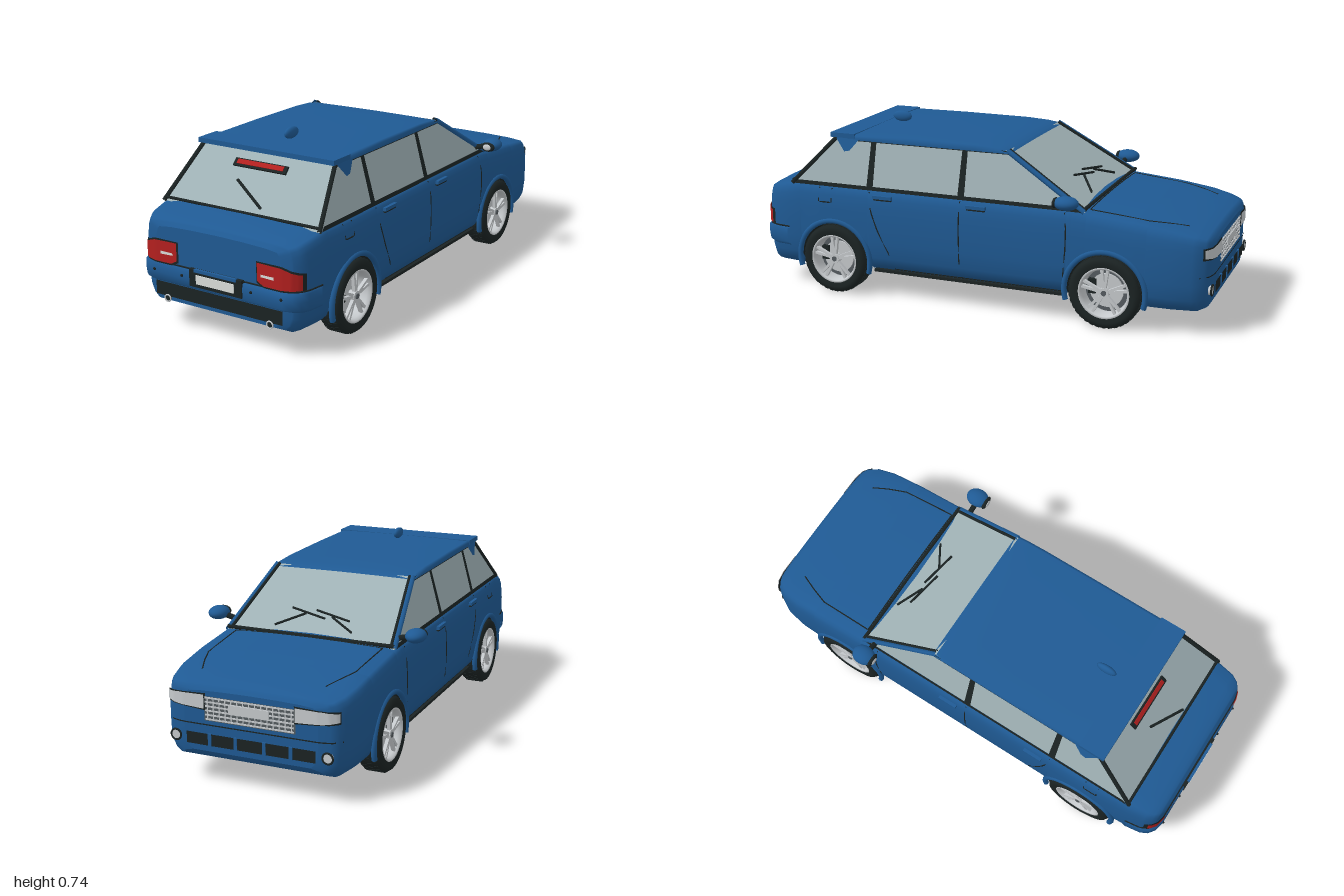
import * as THREE from 'three';

const mat = (name, color) => {
  const m = new THREE.MeshStandardMaterial({ color, side: THREE.DoubleSide });
  m.name = name;
  return m;
};
const paint = mat('blue paint', 0x1f5a94), black = mat('black trim', 0x1b2323), glass = mat('pale glass', 0xa0b2b6);
const silver = mat('silver', 0xc6cacd), red = mat('red lens', 0xb3201f), plateMat = mat('off white', 0xdadedb);
const grey = mat('dark grey', 0x555c60);

// Body rules: half width, crest height and underside height along z
const WIDTH = [[-1, .28], [-.993, .325], [-.975, .355], [-.93, .38], [-.85, .395], [-.7, .4], [.7, .4], [.85, .39],
  [.92, .38], [.95, .365], [.97, .34], [.98, .3]];
const TOP = [[-1, .385], [-.985, .405], [-.95, .416], [-.85, .437], [-.7, .458], [-.5, .477], [-.44, .485], [.8, .485],
  [.85, .475], [.92, .462], [.965, .445], [.98, .425]];
const LOW = [[-1, .14], [-.985, .115], [-.95, .1], [-.7, .1], [-.42, .115], [.46, .115], [.8, .1], [.95, .1], [.98, .115]];
const SECTION = [[0, .88], [.06, .94], [.16, .98], [.35, 1], [.6, 1], [.76, .992], [.86, .98], [.92, .96], [.96, .93],
  [.982, .75], [.995, .4], [1, 0]];
const AXLES = [-.585, .63], ARCH = .165;

function lerpTable(table, v) {
  if (v <= table[0][0]) return table[0][1];
  for (let i = 1; i < table.length; i++) {
    const [a, p] = table[i - 1], [b, q] = table[i];
    if (v <= b) return p + (q - p) * (v - a) / (b - a);
  }
  return table[table.length - 1][1];
}
const swapped = (table) => table.map(([a, b]) => [b, a]);
const widthAt = (z) => lerpTable(WIDTH, z), topAt = (z) => lerpTable(TOP, z), lowAt = (z) => lerpTable(LOW, z);
const sideX = (y, z) => widthAt(z) * lerpTable(SECTION, (y - lowAt(z)) / (topAt(z) - lowAt(z)));
const deckY = (x, z) => lowAt(z) + (topAt(z) - lowAt(z)) * lerpTable(swapped(SECTION.slice(4)).reverse(), Math.abs(x) / widthAt(z));
const rearZ = (x) => lerpTable(swapped(WIDTH.slice(6)).reverse(), Math.abs(x));
const frontZ = (x) => lerpTable(swapped(WIDTH.slice(0, 6)), Math.abs(x));
function bottomAt(z) {
  for (const a of AXLES) if (Math.abs(z - a) <= ARCH) return .15 + Math.sqrt(Math.max(0, ARCH ** 2 - (z - a) ** 2));
  return lowAt(z);
}

// Skin through equal-length rings of [x, y, z]
function loft(rings) {
  const n = rings[0].length, index = [];
  for (let i = 0; i < rings.length - 1; i++) for (let j = 0; j < n - 1; j++) {
    const a = i * n + j, c = a + n;
    index.push(a, a + 1, c, a + 1, c + 1, c);
  }
  const g = new THREE.BufferGeometry();
  g.setAttribute('position', new THREE.Float32BufferAttribute(rings.flat(2), 3));
  g.setIndex(index);
  g.computeVertexNormals();
  return g;
}

export function createModel() {
  const car = new THREE.Group();
  car.name = 'car';
  const add = (name, geo, m, pos = [0, 0, 0], parent = car) => {
    const mesh = new THREE.Mesh(geo, m);
    mesh.name = name;
    mesh.position.set(...pos);
    parent.add(mesh);
    return mesh;
  };
  const both = (name, geo, m, pos = [0, 0, 0]) => {
    add(name + 'Left', geo, m, pos);
    add(name + 'Right', geo, m, [-pos[0], pos[1], pos[2]]).scale.x = -1;
  };
  const box = (...s) => new THREE.BoxGeometry(...s);
  const rod = (pts, r) => {
    const path = new THREE.CurvePath();
    for (let i = 1; i < pts.length; i++) path.add(new THREE.LineCurve3(new THREE.Vector3(...pts[i - 1]), new THREE.Vector3(...pts[i])));
    return new THREE.TubeGeometry(path, Math.max(1, (pts.length - 1) * 5), r, 6);
  };

  // Main body shell with wheel arches
  const zs = new Set([...WIDTH, ...TOP, ...LOW].map((p) => p[0]));
  for (let z = -.4; z < .45; z += .1) zs.add(z);
  for (const a of AXLES) {
    for (let k = 0; k <= 18; k++) zs.add(a - ARCH * .99999 * Math.cos(Math.PI * k / 18));
    zs.add(a - ARCH - .001).add(a + ARCH + .001);
  }
  const stations = [...zs].sort((a, b) => a - b);
  const ring = (z) => {
    const b = lowAt(z), t = topAt(z), h0 = (bottomAt(z) - b) / (t - b);
    const half = SECTION.map(([h]) => {
      const k = h < .76 ? h0 + (.76 - h0) * h / .76 : h;
      return [widthAt(z) * lerpTable(SECTION, k), b + (t - b) * k, z];
    });
    return [...half, ...half.slice(0, -1).reverse().map(([x, y]) => [-x, y, z])];
  };
  add('bodyShell', loft(stations.map(ring)), paint);
  for (const [name, z] of [['nosePanel', -1], ['tailPanel', .98]]) {
    const cap = add(name, new THREE.ShapeGeometry(new THREE.Shape(ring(z).map(([x, y]) => new THREE.Vector2(x, y)))), paint, [0, 0, z]);
    if (z < 0) cap.rotation.y = Math.PI;
  }

  // Underside: painted floor, black wheel tunnels
  const cuts = [-1, AXLES[0] - ARCH - .001, AXLES[0] + ARCH + .001, AXLES[1] - ARCH - .001, AXLES[1] + ARCH + .001, .98];
  for (let i = 0; i < 5; i++) {
    const part = stations.filter((z) => z >= cuts[i] - 1e-6 && z <= cuts[i + 1] + 1e-6);
    add(i % 2 ? 'wheelTunnel' : 'floor', loft(part.map((z) => {
      const y = bottomAt(z), x = sideX(y, z);
      return [[-x, y, z], [x, y, z]];
    })), i % 2 ? black : paint);
  }
  both('sill', box(.02, .012, .86), black, [.365, .113, .02]);

  // Cabin glass: side, windscreen and rear panes
  const B = .465, T = .675, baseX = .37, roofX = .312;
  const pane = (name, a, b, c, d, m) => add(name, loft([[a, b], [d, c]]), m);
  pane('windscreen', [-baseX, B, -.49], [baseX, B, -.49], [roofX, T, -.14], [-roofX, T, -.14], glass);
  pane('rearWindow', [baseX, B, .84], [-baseX, B, .84], [-roofX, T, .64], [roofX, T, .64], glass);
  const sidePanel = (pts, off) => {
    const g = new THREE.ShapeGeometry(new THREE.Shape(pts.map((p) => new THREE.Vector2(...p)))), p = g.attributes.position;
    for (let i = 0; i < p.count; i++) {
      const z = p.getX(i), y = p.getY(i);
      p.setXYZ(i, baseX - (y - B) / (T - B) * (baseX - roofX) + off, y, z);
    }
    g.computeVertexNormals();
    return g;
  };
  both('sideGlass', sidePanel([[-.49, B], [.84, B], [.64, T], [-.14, T]], 0), glass);
  for (const z of [.045, .465]) both('doorPillar', sidePanel([[z - .015, B], [z + .015, B], [z + .012, T], [z - .012, T]], .005), black);
  both('windowSill', sidePanel([[-.48, B], [.83, B], [.81, B + .016], [-.455, B + .016]], .006), black);
  both('windowHeader', sidePanel([[-.17, T - .014], [.65, T - .014], [.64, T], [-.14, T]], .006), black);
  both('spoilerBracket', sidePanel([[.53, T], [.65, T], [.6, .615], [.575, .62]], .008), paint);
  both('frontPillar', rod([[baseX, B, -.49], [roofX, T, -.14]], .011), paint);
  both('frontPillarSeal', rod([[baseX - .014, B + .004, -.492], [roofX - .012, T + .002, -.145]], .007), black);
  both('rearPillar', rod([[baseX, B, .84], [roofX, T, .64]], .01), black);
  add('windscreenSeal', rod([[-baseX, B + .012, -.488], [baseX, B + .012, -.488]], .008), black);
  add('rearWindowSeal', rod([[-baseX, B + .014, .835], [baseX, B + .014, .835]], .006), black);

  // Crowned roof, spoiler and aerial
  const roofRings = [[-.155, .668], [-.14, .676], [-.1, .683], [0, .689], [.3, .691], [.6, .689]].map(([z, y]) =>
    [[.322, .664], [.322, y - .008], [.31, y - .002], [.16, y], [0, y + .001], [-.16, y], [-.31, y - .002], [-.322, y - .008], [-.322, .664]]
      .map(([x, v]) => [x, v, z]));
  add('roof', loft(roofRings), paint);
  add('spoiler', box(.65, .02, .115), paint, [0, .681, .613]);
  add('aerial', new THREE.SphereGeometry(1, 20, 14).scale(.016, .024, .045), paint, [0, .715, .485]);

  // High brake lamp and wipers
  const rearPlane = (y) => .84 - (y - B) * .2 / (T - B);
  add('brakeLampHousing', box(.25, .034, .012), black, [0, .625, rearPlane(.625) + .004]).rotation.x = -.76;
  add('brakeLamp', box(.22, .02, .008), red, [0, .63, rearPlane(.63) + .011]).rotation.x = -.76;
  add('rearWiper', rod([[-.07, .575, rearPlane(.575) + .015], [.09, .505, rearPlane(.505) + .02]], .006), black);
  const onScreen = (x, z) => [x, B + (z + .49) * .6 + .012, z];
  for (const [a, b, c, d] of [[-.17, -.45, -.06, -.39], [-.14, -.4, .02, -.365], [.17, -.455, .06, -.385], [-.03, -.4, .13, -.365]])
    add('frontWiper', rod([onScreen(a, b), onScreen(c, d)], .005), black);

  // Panel gaps, handles and fuel flap
  const sideSeam = (name, pts) => both(name, rod(pts.map(([z, y]) => [sideX(y, z), y, z]), .003), black);
  sideSeam('middleDoorGap', [[.045, .125], [.045, .2], [.045, .3], [.045, .4], [.045, .46]]);
  sideSeam('frontDoorGap', [[-.4, .125], [-.41, .2], [-.42, .32], [-.42, .4], [-.41, .46]]);
  sideSeam('rearDoorGap', [[.355, .125], [.37, .2], [.42, .3], [.45, .38], [.462, .46]]);
  sideSeam('sillGap', [[-.4, .125], [0, .125], [.355, .125]]);
  sideSeam('fuelFlap', [[.64, .46], [.64, .4], [.7, .4], [.7, .46]]);
  for (const z of [.39, -.035]) {
    both('doorHandle', box(.014, .014, .085), paint, [.404, .447, z]);
    both('handleRecess', box(.01, .01, .08), black, [.402, .438, z]);
  }
  const deck = (pts) => rod(pts.map(([x, z]) => [x, deckY(x, z), z]), .003);
  both('bonnetGap', deck([[.26, -.89], [.29, -.82], [.318, -.74], [.322, -.6], [.325, -.5]]), black);
  add('bonnetRearGap', deck([[-.325, -.5], [-.16, -.5], [0, -.5], [.16, -.5], [.325, -.5]]), black);

  // Thin panels wrapped round the nose or tail, from stations [x, top, bottom]
  const wrap = (st, rear, off = .005) => {
    const tops = st.map((s) => [s[0], s[1]]), lows = st.map((s) => [s[0], s[2]]), x0 = st[0][0], x1 = st[st.length - 1][0], rings = [];
    for (let i = 0; i <= 24; i++) {
      const x = x0 + (x1 - x0) * i / 24, z = rear ? rearZ(x) + off : frontZ(x) - off;
      const r = [[x, lerpTable(lows, x), z], [x, lerpTable(tops, x), z]];
      rings.push(rear ? r.reverse() : r);
    }
    return loft(rings);
  };

  // Tail: lamps, bumper, plate, lower panel and exhausts
  both('tailLampSurround', wrap([[.186, .364, .28], [.22, .364, .264], [.3, .364, .264], [.376, .338, .266]], true, .004), black);
  both('tailLamp', wrap([[.192, .36, .288], [.22, .36, .272], [.3, .358, .272], [.37, .333, .274]], true, .008), red);
  both('reverseLamp', wrap([[.21, .318, .308], [.27, .318, .306]], true, .011), plateMat);
  const plan = WIDTH.filter(([z]) => z >= .85).map(([z, x]) => [x, z]);
  const fullPlan = [...plan, ...plan.slice().reverse().map(([x, z]) => [-x, z])];
  add('rearBumper', loft(fullPlan.map(([x, z]) => [[.185, -.004], [.198, .01], [.23, .013], [.26, .011], [.268, -.004]]
    .map(([y, o]) => [x * (1 + o * 1.3), y, z + o]).reverse())), paint);
  add('rearBumperGap', rod(fullPlan.map(([x, z]) => [x * 1.003, .269, z + .002]), .0035), black);
  add('plateRecess', box(.25, .07, .02), black, [0, .24, .987]);
  add('numberPlate', box(.18, .036, .004), plateMat, [0, .238, .999]);
  add('bootHandle', box(.2, .012, .012), paint, [0, .272, .994]);
  add('lowerRearPanel', wrap([[-.302, .19, .133], [.302, .19, .133]], true, .006), black);
  both('exhaustTip', new THREE.TorusGeometry(.014, .003, 8, 20), silver, [.245, .125, .988]);
  both('exhaustBore', new THREE.CylinderGeometry(.013, .013, .04, 18).rotateX(Math.PI / 2), black, [.245, .125, .967]);
  for (const x of [.165, .302]) both('parkingSensor', new THREE.SphereGeometry(.006, 10, 8), black, [x, .238, rearZ(x) + .013]);

  // Nose: headlamps, grille, intake and fog lamps
  both('headlampSurround', wrap([[.185, .373, .305], [.36, .366, .318]], false, .004), black);
  both('headlamp', wrap([[.19, .368, .312], [.3, .366, .318], [.358, .36, .326]], false, .008), silver);
  add('grilleBack', wrap([[-.19, .362, .265], [.19, .362, .265]], false, .004), grey);
  for (let i = 0; i < 6; i++) add('grilleBar', box(.37, .006, .006), silver, [0, .272 + i * .017, -1.004]);
  for (let i = 0; i < 15; i++) add('grilleRib', box(.004, .09, .005), silver, [-.175 + i * .025, .314, -1.004]);
  add('frontPlate', box(.17, .032, .004), silver, [0, .325, -1.008]);
  add('lowerIntake', wrap([[-.27, .212, .165], [.27, .212, .165]], false, .005), black);
  for (const x of [-.17, -.06, .06, .17]) add('intakeBar', box(.014, .05, .008), paint, [x, .188, -1.004]);
  add('frontBumperLine', wrap([[-.365, .25, .245], [.365, .25, .245]], false, .003), black);
  both('fogLamp', new THREE.CylinderGeometry(.019, .019, .014, 18).rotateX(Math.PI / 2), silver, [.318, .19, frontZ(.318) - .002]);
  both('fogLampRing', new THREE.TorusGeometry(.021, .004, 8, 20), black, [.318, .19, frontZ(.318) - .008]);

  // Door mirrors
  both('mirrorArm', rod([[.36, .495, -.43], [.42, .51, -.43]], .012), black);
  both('mirrorShell', new THREE.SphereGeometry(1, 22, 16).scale(.042, .028, .052), paint, [.44, .516, -.435]);
  both('mirrorRim', new THREE.SphereGeometry(1, 20, 12).scale(.033, .021, .012), black, [.44, .515, -.391]);
  both('mirrorGlass', new THREE.SphereGeometry(1, 20, 12).scale(.02, .014, .006), silver, [.44, .515, -.383]);

  // Wheels, with flared arch lips
  const lathe = (pts) => new THREE.LatheGeometry(pts.map((p) => new THREE.Vector2(...p)), 40).rotateZ(-Math.PI / 2);
  const tyre = lathe([[.104, -.044], [.125, -.05], [.142, -.046], [.15, -.032], [.15, .032], [.142, .046], [.125, .05], [.104, .044]]);
  const rim = lathe([[.096, -.042], [.09, 0], [.094, .03], [.099, .044], [.107, .046], [.108, .04]]);
  const turned = (r, h) => new THREE.CylinderGeometry(r, r, h, 28).rotateZ(Math.PI / 2);
  const lip = new THREE.TorusGeometry(ARCH + .004, .012, 8, 36, Math.PI * 1.18).rotateZ(-Math.PI * .09).rotateY(Math.PI / 2);
  for (const z of AXLES) {
    both('archLip', lip, paint, [.396, .15, z]);
    for (const s of [1, -1]) {
      const wheel = new THREE.Group();
      wheel.name = (z < 0 ? 'front' : 'rear') + 'Wheel';
      wheel.position.set(s * .36, .15, z);
      wheel.scale.x = s;
      add('tyre', tyre, black, [0, 0, 0], wheel);
      add('rim', rim, silver, [0, 0, 0], wheel);
      add('wheelBack', turned(.092, .006), grey, [-.015, 0, 0], wheel);
      add('brakeDisc', turned(.07, .008), silver, [-.002, 0, 0], wheel);
      add('brakeCaliper', box(.02, .06, .03), black, [.006, .015, .058], wheel);
      add('hub', turned(.021, .03), silver, [.026, 0, 0], wheel);
      add('hubCap', turned(.011, .006), grey, [.042, 0, 0], wheel);
      for (let i = 0; i < 10; i++) {
        const a = Math.floor(i / 2) * Math.PI * .4 + (i % 2 ? .13 : -.13);
        const spoke = add('spoke', box(.014, .088, .011).translate(0, .055, 0), silver, [.031, 0, 0], wheel);
        spoke.rotation.x = a;
      }
      // Shallow tread blocks
      for (let i = 0; i < 36; i++) for (const x of [-.024, 0, .024]) {
        const block = add('treadBlock', box(.018, .004, .016).translate(x, .1495, 0), black, [0, 0, 0], wheel);
        block.rotation.x = (i + (x ? 0 : .5)) * Math.PI / 18;
      }
      car.add(wheel);
    }
  }
  return car;
}
